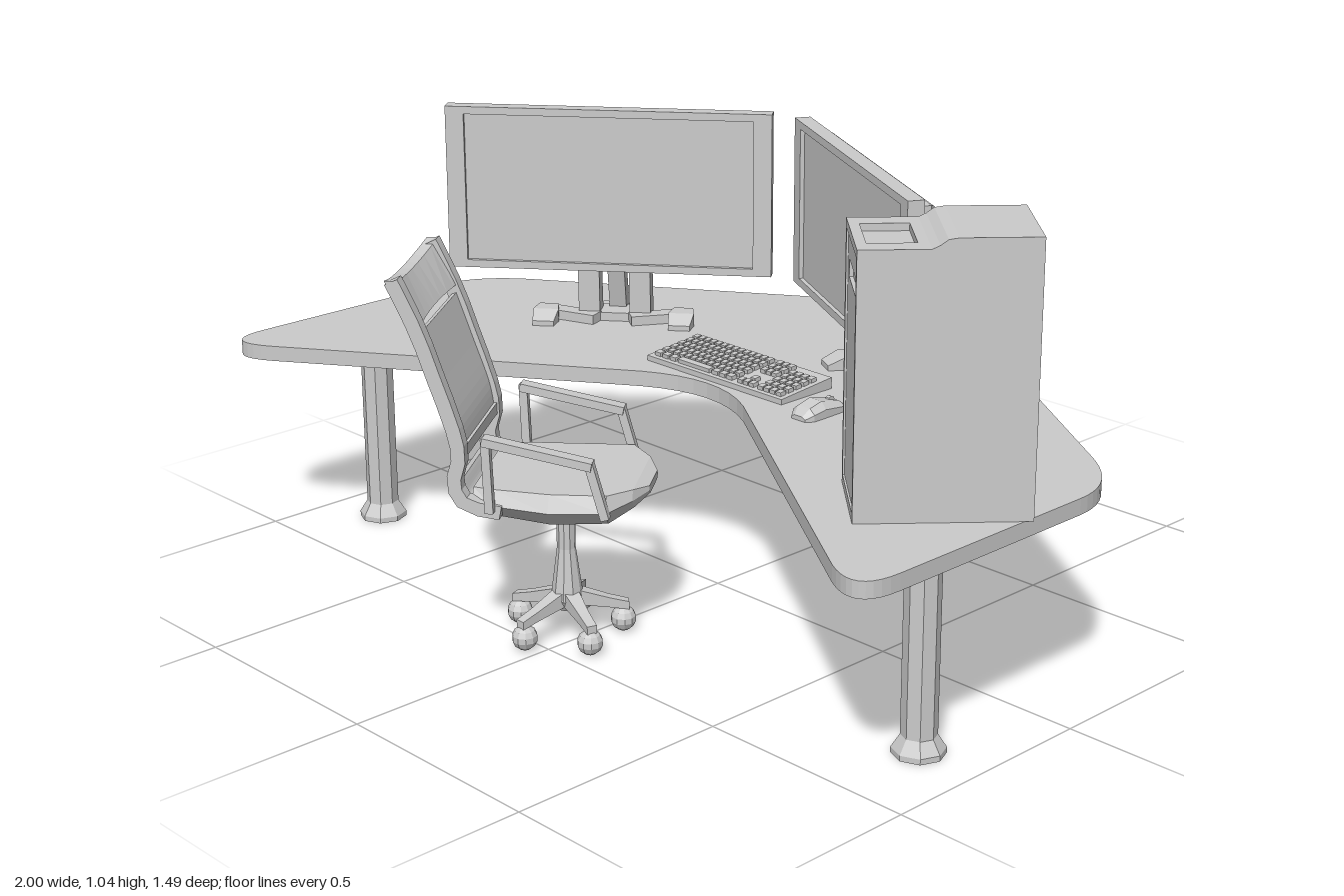
import * as THREE from 'three';
import { mergeGeometries } from 'three/addons/utils/BufferGeometryUtils.js';

const grey = new THREE.MeshStandardMaterial({ color: 0xcccccc, flatShading: true, side: THREE.DoubleSide });

function add(parent, name, geometry, x = 0, y = 0, z = 0) {
  const mesh = new THREE.Mesh(geometry, grey);
  mesh.name = name;
  mesh.position.set(x, y, z);
  parent.add(mesh);
  return mesh;
}

function group(parent, name, x = 0, y = 0, z = 0, turn = 0) {
  const g = new THREE.Group();
  g.name = name;
  g.position.set(x, y, z);
  g.rotation.y = turn;
  parent.add(g);
  return g;
}

const box = (w, h, d) => new THREE.BoxGeometry(w, h, d);
const lathe = (pts, sides) => new THREE.LatheGeometry(pts.map(p => new THREE.Vector2(...p)), sides);

// Rectangular frame in the xy plane, extruded along z
function frame(w, h, holeW, holeH, depth) {
  const rect = (T, a, b) => new T([[-a, -b], [a, -b], [a, b], [-a, b]].map(p => new THREE.Vector2(p[0] / 2, p[1] / 2)));
  const shape = rect(THREE.Shape, w, h);
  shape.holes.push(rect(THREE.Path, holeW, holeH));
  return new THREE.ExtrudeGeometry(shape, { depth, bevelEnabled: false });
}

// Side outline of [z, y] points extruded across x, centred
function sideExtrude(pts, width) {
  const shape = new THREE.Shape(pts.map(p => new THREE.Vector2(...p)));
  const g = new THREE.ExtrudeGeometry(shape, { depth: width, bevelEnabled: false });
  return g.rotateY(-Math.PI / 2).translate(width / 2, 0, 0);
}

// Curved band that follows a [z, y] path with even thickness
function band(path, thickness, width) {
  const curve = new THREE.CatmullRomCurve3(path.map(p => new THREE.Vector3(p[0], p[1], 0)));
  const a = [], b = [];
  for (let i = 0; i <= 14; i++) {
    const p = curve.getPoint(i / 14), t = curve.getTangent(i / 14).multiplyScalar(thickness / 2);
    a.push([p.x - t.y, p.y + t.x]);
    b.unshift([p.x + t.y, p.y - t.x]);
  }
  return sideExtrude([...a, ...b], width);
}

// Closed solid through rings of [x, y, z], each counter-clockwise seen from +z
function loft(rings) {
  const pos = [], n = rings[0].length, tri = (...p) => p.forEach(v => pos.push(...v));
  for (let i = 0; i < rings.length - 1; i++) for (let j = 0; j < n; j++) {
    const k = (j + 1) % n, [r, s] = [rings[i], rings[i + 1]];
    tri(r[j], r[k], s[k]);
    tri(r[j], s[k], s[j]);
  }
  const first = rings[0], last = rings[rings.length - 1];
  for (let j = 1; j < n - 1; j++) {
    tri(first[0], first[j + 1], first[j]);
    tri(last[0], last[j], last[j + 1]);
  }
  const g = new THREE.BufferGeometry();
  g.setAttribute('position', new THREE.Float32BufferAttribute(pos, 3));
  g.computeVertexNormals();
  return g;
}
const rectRing = (w, h, y, z) => [[-w / 2, y - h / 2, z], [w / 2, y - h / 2, z], [w / 2, y + h / 2, z], [-w / 2, y + h / 2, z]];

function buildDesk(root) {
  const desk = group(root, 'desk', -0.008);
  const s = new THREE.Shape();
  s.moveTo(-0.992, -0.5);
  s.lineTo(-0.992, 0.02);
  s.quadraticCurveTo(-0.992, 0.135, -0.86, 0.22);
  s.lineTo(-0.15, 0.695);
  s.quadraticCurveTo(0, 0.79, 0.15, 0.695);
  s.lineTo(0.86, 0.22);
  s.quadraticCurveTo(0.992, 0.135, 0.992, 0.02);
  s.lineTo(0.992, -0.5);
  s.quadraticCurveTo(0.992, -0.63, 0.88, -0.56);
  s.lineTo(0.2, -0.1);
  s.quadraticCurveTo(0, 0.05, -0.2, -0.1);
  s.lineTo(-0.88, -0.56);
  s.quadraticCurveTo(-0.992, -0.63, -0.992, -0.5);
  const top = new THREE.ExtrudeGeometry(s, { depth: 0.035, bevelEnabled: false, curveSegments: 10 });
  add(desk, 'deskTop', top.rotateX(-Math.PI / 2), 0, 0.445, 0);
  for (const [x, z] of [[-0.845, 0.29], [0.865, 0.29], [0.005, -0.57]])
    add(desk, 'deskLeg', lathe([[0, 0], [0.055, 0], [0.055, 0.012], [0.037, 0.04], [0.037, 0.42], [0.068, 0.436], [0.068, 0.445]], 8), x, 0, z);
}

function buildMonitor(root, name, x, z, turn) {
  const m = group(root, name, x, 0, z, turn);
  add(m, 'bezel', frame(0.75, 0.38, 0.665, 0.345, 0.036), 0, 0.81, -0.018);
  add(m, 'screen', box(0.67, 0.35, 0.024), 0, 0.81, -0.004);
  add(m, 'housing', loft([rectRing(0.59, 0.27, 0.805, -0.093), rectRing(0.65, 0.335, 0.805, -0.055), rectRing(0.68, 0.345, 0.805, -0.045), rectRing(0.68, 0.345, 0.805, -0.016)]));
  // Stand: twin posts, slanted rear strut and a forked foot
  for (const side of [-1, 1]) {
    add(m, 'standPost', sideExtrude([[-0.085, 0.65], [-0.045, 0.65], [-0.05, 0.49], [-0.1, 0.49]], 0.05), side * 0.06);
    const arm = add(m, 'footArm', box(0.13, 0.022, 0.04), side * 0.1, 0.491, -0.055);
    arm.rotation.y = side * 0.35;
    add(m, 'footPad', loft([rectRing(0.045, 0.03, 0.495, -0.085), rectRing(0.06, 0.03, 0.495, -0.04), rectRing(0.05, 0.012, 0.486, 0)]), side * 0.16, 0, 0.01);
  }
  add(m, 'standStrut', sideExtrude([[-0.06, 0.66], [-0.1, 0.64], [-0.15, 0.49], [-0.15, 0.48], [-0.105, 0.48]], 0.04));
  add(m, 'footHub', box(0.16, 0.02, 0.075), 0, 0.49, -0.085);
  add(m, 'rearFoot', box(0.09, 0.014, 0.04), 0, 0.487, -0.14);
}

function buildTower(root) {
  const t = group(root, 'computerTower', 0.797, 0, 0.19, -0.733);
  const W = 0.226;
  add(t, 'case', sideExtrude([[0.16, 0.48], [0.16, 1], [0.035, 1], [0.035, 1.015], [0.02, 1.022], [0.005, 1.033], [-0.015, 1.036], [-0.172, 1.036], [-0.172, 0.48]], W));
  add(t, 'topTray', frame(W, 0.137, 0.135, 0.095, 0.015).rotateX(-Math.PI / 2), 0, 1, 0.1035);
  add(t, 'frontPanel', frame(W, 0.535, 0.2, 0.5, 0.012), 0, 0.7475, 0.16);
  // Front face with a sunken drive slot
  const slot = frame(0.2, 0.12, 0.145, 0.035, 0.008);
  add(t, 'driveSurround', slot, 0, 0.9275, 0.16);
  add(t, 'lowerFront', box(0.2, 0.371, 0.008), 0, 0.682, 0.164);
}

function buildKeyboard(root) {
  const k = group(root, 'keyboard', -0.005, 0.48, -0.067);
  add(k, 'keyboardBase', sideExtrude([[0.078, 0], [0.078, 0.012], [-0.078, 0.025], [-0.078, 0]], 0.42));
  const tilt = 0.083, keys = [];
  const key = (x, z, w) => keys.push(box(w, 0.012, 0.016).rotateX(tilt).translate(x, 0.0215 - z * tilt, z));
  for (let r = 0; r < 6; r++) {
    const z = -0.058 + r * 0.0235;
    // Main block, with a space bar in the last row
    if (r === 5) {
      for (const x of [-0.187, -0.163, -0.139, -0.005, 0.018, 0.04]) key(x, z, 0.018);
      key(-0.072, z, 0.1);
    } else for (let c = 0; c < 14; c++) key(-0.19 + c * 0.0178 + (r % 2) * 0.002, z, 0.014);
    // Cursor block and number pad
    for (let c = 0; c < 3; c++) if (r !== 3 && (r !== 4 || c === 1)) key(0.073 + c * 0.0175, z, 0.014);
    if (r > 0) for (let c = 0; c < 4; c++) key(0.135 + c * 0.0185, z, 0.015);
  }
  add(k, 'keys', mergeGeometries(keys));
}

function buildMouse(root) {
  const m = group(root, 'mouse', 0.297, 0.48, -0.008);
  const ring = ([z, w, h]) => [[-w, 0, z], [w, 0, z], [w, h * 0.55, z], [w * 0.55, h, z], [-w * 0.55, h, z], [-w, h * 0.55, z]];
  add(m, 'mouseBody', loft([[-0.063, 0.02, 0.01], [-0.045, 0.03, 0.022], [0.01, 0.031, 0.034], [0.045, 0.031, 0.026], [0.062, 0.02, 0.01]].map(ring)));
  add(m, 'scrollWheel', new THREE.CylinderGeometry(0.01, 0.01, 0.01, 8).rotateZ(Math.PI / 2), 0, 0.022, -0.033);
}

function buildChair(root) {
  const chair = group(root, 'officeChair', -0.035, 0, 0.415);
  // Five-star base on ball casters
  add(chair, 'gasColumn', lathe([[0, 0.06], [0.022, 0.06], [0.035, 0.085], [0.032, 0.11], [0.02, 0.2], [0.02, 0.275], [0.038, 0.29], [0.038, 0.33], [0, 0.33]], 10));
  for (let i = 0; i < 5; i++) {
    const spoke = group(chair, 'baseSpoke', 0, 0, 0, i * Math.PI * 0.4);
    add(spoke, 'spokeArm', loft([rectRing(0.034, 0.035, 0.09, 0.015), rectRing(0.024, 0.022, 0.07, 0.09), rectRing(0.022, 0.018, 0.06, 0.132)]));
    add(spoke, 'caster', new THREE.SphereGeometry(0.028, 10, 7), 0, 0.028, 0.12);
  }
  const upper = group(chair, 'chairUpper', 0, 0, 0, 2.215);
  // Seat cushion with a bowed front edge
  const seatRing = ([z, w, top, bottom]) => [[-w * 0.8, bottom, z], [w * 0.8, bottom, z], [w, (top + bottom) / 2, z], [w * 0.9, top, z], [-w * 0.9, top, z], [-w, (top + bottom) / 2, z]];
  add(upper, 'seat', loft([[-0.165, 0.14, 0.375, 0.335], [-0.12, 0.158, 0.378, 0.315], [0, 0.17, 0.378, 0.305], [0.12, 0.17, 0.382, 0.315], [0.165, 0.11, 0.378, 0.335], [0.19, 0.05, 0.368, 0.35]].map(seatRing)));
  add(upper, 'seatMount', box(0.12, 0.03, 0.14), 0, 0.3, 0);
  // Backrest: side rails, mesh panel, headrail and lower bar
  const back = [[-0.295, 0.785], [-0.262, 0.71], [-0.228, 0.61], [-0.195, 0.51], [-0.185, 0.45]];
  const rail = [[-0.312, 0.82], ...back, [-0.197, 0.39], [-0.175, 0.35], [-0.1, 0.335]];
  for (const side of [-1, 1]) add(upper, 'backRail', band(rail, 0.03, 0.03), side * 0.15);
  add(upper, 'backMesh', band(back.slice(1), 0.01, 0.265));
  add(upper, 'lowerBackBar', box(0.28, 0.025, 0.022), 0, 0.455, -0.187);
  add(upper, 'rearSeatBar', band([[-0.197, 0.385], [-0.175, 0.35], [-0.1, 0.34]], 0.02, 0.28));
  const head = new THREE.BoxGeometry(0.33, 0.095, 0.024, 8, 1, 1);
  const p = head.attributes.position;
  for (let i = 0; i < p.count; i++) {
    const dip = 1 - (p.getX(i) / 0.165) ** 2, y = p.getY(i);
    p.setXYZ(i, p.getX(i), y - (y > 0 ? 0.022 * dip : 0), p.getZ(i) - y * 0.5 - 0.012 * dip);
  }
  add(upper, 'headRail', head, 0, 0.775, -0.29);
  // Armrest loops
  const armPath = [[-0.12, 0.345], [-0.125, 0.495], [0.09, 0.455], [0.12, 0.345]];
  for (const side of [-1, 1]) for (let i = 0; i < 3; i++) {
    const [z0, y0] = armPath[i], [z1, y1] = armPath[i + 1];
    const bar = add(upper, 'armrest', box(i === 1 ? 0.03 : 0.02, 0.018, Math.hypot(z1 - z0, y1 - y0) + 0.012), side * 0.172, (y0 + y1) / 2, (z0 + z1) / 2);
    bar.rotation.x = -Math.atan2(y1 - y0, z1 - z0);
  }
}

export function createModel() {
  const root = new THREE.Group();
  root.name = 'computerWorkstation';
  buildDesk(root);
  buildMonitor(root, 'rightMonitor', -0.452, -0.093, 0.68);
  buildMonitor(root, 'leftMonitor', 0.243, -0.168, -0.5);
  buildTower(root);
  buildKeyboard(root);
  buildMouse(root);
  buildChair(root);
  return root;
}
